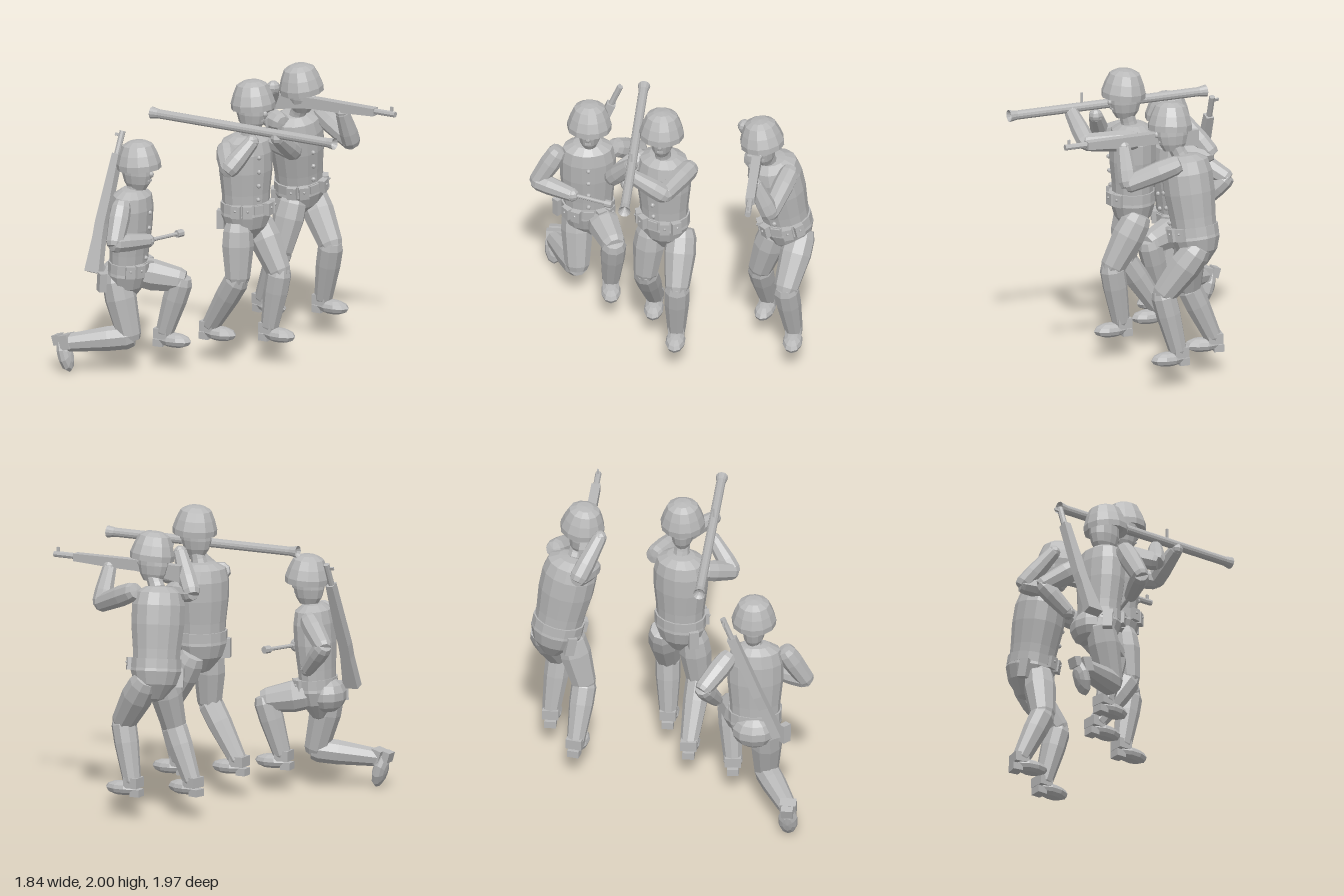
import * as THREE from 'three';

const grey = new THREE.MeshStandardMaterial({ color: 0xb8b8b8 });
grey.name = 'figure grey';

const V = (a) => new THREE.Vector3(...a);
const UP = new THREE.Vector3(0, 1, 0);

// faceted mesh added to a parent
function add(parent, name, geo, pos = [0, 0, 0], scale = [1, 1, 1]) {
  const flat = geo.index ? geo.toNonIndexed() : geo;
  flat.computeVertexNormals();
  const m = new THREE.Mesh(flat, grey);
  m.name = name;
  m.position.set(...pos);
  m.scale.set(...scale);
  parent.add(m);
  return m;
}
const box = (w, h, d) => new THREE.BoxGeometry(w, h, d);
const ball = (r) => new THREE.SphereGeometry(r, 8, 6);
const lathe = (pts, n = 10) => new THREE.LatheGeometry(pts.map(([r, y]) => new THREE.Vector2(r, y)), n);

// group standing at p with its y axis toward q, turned about that axis
function aimed(parent, name, p, q, yaw = 0) {
  const g = new THREE.Group();
  g.name = name;
  g.position.copy(V(p));
  g.quaternion.setFromUnitVectors(UP, V(q).sub(V(p)).normalize());
  g.rotateY(yaw);
  parent.add(g);
  return g;
}

// faceted limb: radii at start, a bulge at a third, and the end
function limb(parent, name, p, q, r0, r1, r2) {
  const L = V(p).distanceTo(V(q));
  const geo = lathe([[0, -r0 * 0.45], [r0 * 0.8, -r0 * 0.35], [r0, r0 * 0.2], [r1, L * 0.35],
    [r2, L - r2 * 0.1], [r2 * 0.8, L + r2 * 0.35], [0, L + r2 * 0.42]], 9);
  add(aimed(parent, name, p, q), name, geo);
}

function arm(parent, side, [shoulder, elbow, hand]) {
  limb(parent, side + 'UpperArm', shoulder, elbow, 0.068, 0.073, 0.062);
  limb(parent, side + 'Forearm', elbow, hand, 0.064, 0.064, 0.049);
  add(parent, side + 'Hand', ball(0.048), hand);
}

function leg(parent, side, [hip, knee, ankle], tilt = 0, yaw = 0) {
  limb(parent, side + 'Thigh', hip, knee, 0.102, 0.11, 0.085);
  limb(parent, side + 'Shin', knee, ankle, 0.087, 0.085, 0.062);
  const foot = new THREE.Group();
  foot.name = side + 'Boot';
  foot.position.set(...ankle);
  foot.rotation.set(0, yaw, tilt);
  add(foot, 'bootToe', new THREE.SphereGeometry(1, 10, 6), [0.075, -0.045, 0], [0.125, 0.05, 0.068]);
  add(foot, 'bootHeel', box(0.07, 0.05, 0.08), [-0.035, -0.07, 0]);
  add(foot, 'bootCuff', box(0.1, 0.07, 0.11), [-0.01, 0, 0]);
  parent.add(foot);
}

// trunk, belt and pouches, built upright and then leaned
function trunk(parent, base, top, yaw, depth, canteen) {
  const L = V(base).distanceTo(V(top));
  const g = aimed(parent, 'trunk', base, top, yaw);
  const d = [depth, 1, 1];
  add(g, 'jacket', lathe([[0, 0], [0.166, 0], [0.172, 0.1], [0.19, L * 0.5], [0.19, L * 0.75],
    [0.168, L * 0.91], [0.1, L * 0.98], [0, L]], 14), [0, 0, 0], d);
  add(g, 'pelvis', lathe([[0, -0.26], [0.06, -0.24], [0.15, -0.14], [0.182, -0.05], [0.172, 0.01], [0, 0.02]], 14), [0, 0, 0], d);
  add(g, 'belt', lathe([[0.165, -0.03], [0.18, -0.03], [0.18, 0.035], [0.165, 0.035]], 14), [0, 0, 0], d);
  add(g, 'buckle', box(0.015, 0.06, 0.07), [0.18 * depth, 0, 0]);
  for (const s of [-1, 1]) {
    for (const a of [0.5, 0.95]) {
      const p = add(g, 'pouch', box(0.05, 0.085, 0.065), [0.19 * depth * Math.cos(a), -0.005, s * 0.175 * Math.sin(a)]);
      p.rotation.y = -s * a;
      add(p, 'pouchStud', ball(0.009), [0.027, 0.01, 0]);
    }
  }
  // canteen at the right rear
  const c = add(g, 'canteen', box(0.05, 0.13, 0.065), [canteen[0], -0.09, canteen[1]]);
  c.rotation.y = 0.75;
  for (let i = 0; i < 4; i++) {
    add(g, 'button', ball(0.016), [[0.174, 0.184, 0.189, 0.189][i] * depth, 0.07 + i * L * 0.195, 0]);
  }
}

// head with helmet; origin at the chin
function head(parent, neck, chin, yaw, lean) {
  limb(parent, 'neck', neck, [chin[0], chin[1] + 0.06, chin[2]], 0.058, 0.054, 0.052);
  const g = new THREE.Group();
  g.name = 'head';
  g.position.set(...chin);
  g.rotation.set(lean, yaw, 0);
  add(g, 'face', lathe([[0, 0], [0.055, 0.005], [0.08, 0.05], [0.094, 0.11], [0.094, 0.18], [0, 0.25]], 12),
    [0, 0, 0], [1.18, 1, 0.86]);
  add(g, 'nose', ball(0.018), [0.112, 0.12, 0], [1, 1.2, 1]);
  add(g, 'mouth', box(0.02, 0.012, 0.04), [0.096, 0.075, 0]);
  const h = add(g, 'helmet', lathe([[0, 0.05], [0.12, 0.02], [0.15, 0], [0.152, 0.04], [0.132, 0.105],
    [0.105, 0.165], [0.06, 0.19], [0, 0.197]], 12), [0.015, 0.148, 0]);
  h.rotation.z = 0.07;
  parent.add(g);
}

// rifle along +x from the butt at the origin
function rifle(parent) {
  const g = new THREE.Group();
  g.name = 'rifle';
  const s = new THREE.Shape([[0, -0.125], [0.24, -0.085], [0.34, -0.075], [0.5, -0.072], [0.82, -0.055],
    [0.82, -0.003], [0.34, 0], [0.24, -0.008], [0, -0.01]].map(([x, y]) => new THREE.Vector2(x, y)));
  add(g, 'rifleStock', new THREE.ExtrudeGeometry(s, { depth: 0.062, bevelEnabled: false }), [0, 0, -0.031]);
  const tube = add(g, 'rifleBarrel', new THREE.CylinderGeometry(0.021, 0.021, 0.5, 8), [0.73, -0.025, 0]);
  tube.rotation.z = -Math.PI / 2;
  add(g, 'frontSight', box(0.02, 0.03, 0.012), [0.95, 0.01, 0]);
  parent.add(g);
  return g;
}

function kneelingSoldier() {
  const g = new THREE.Group();
  g.name = 'kneelingSoldier';
  trunk(g, [-0.49, 0.74, 0.6], [-0.455, 1.29, 0.6], 0.12, 0.72, [-0.1, 0.2]);
  add(g, 'seat', new THREE.SphereGeometry(1, 10, 7), [-0.57, 0.66, 0.6], [0.12, 0.12, 0.15]);
  head(g, [-0.455, 1.25, 0.595], [-0.43, 1.275, 0.585], 0, 0);
  arm(g, 'right', [[-0.42, 1.21, 0.8], [-0.39, 0.98, 0.935], [-0.28, 0.96, 0.69]]);
  arm(g, 'left', [[-0.52, 1.2, 0.42], [-0.71, 1.06, 0.27], [-0.55, 0.88, 0.34]]);
  leg(g, 'right', [[-0.54, 0.66, 0.68], [-0.44, 0.26, 0.67], [-0.81, 0.205, 0.86]], -1.28);
  leg(g, 'left', [[-0.46, 0.67, 0.52], [-0.2, 0.625, 0.4], [-0.31, 0.25, 0.43]], 0, 0.1);
  // stick grenade
  const st = aimed(g, 'stickGrenade', [-0.29, 0.96, 0.72], [-0.18, 0.965, 0.41]);
  add(st, 'grenadeHandle', new THREE.CylinderGeometry(0.013, 0.013, 0.3, 8), [0, 0.15, 0]);
  add(st, 'grenadeHead', new THREE.CylinderGeometry(0.026, 0.026, 0.05, 8), [0, 0.305, 0]);
  // rifle slung across the back
  const r = rifle(g);
  const x = V([-0.69, 1.6, 0.4]).sub(V([-0.73, 0.7, 0.77])).normalize();
  const z = x.clone().cross(V([-1, 0, 0])).normalize();
  r.quaternion.setFromRotationMatrix(new THREE.Matrix4().makeBasis(x, z.clone().cross(x), z));
  r.position.set(-0.73, 0.7, 0.77);
  return g;
}

function launcherSoldier() {
  const g = new THREE.Group();
  g.name = 'launcherSoldier';
  trunk(g, [0.09, 1.11, 0.03], [0.09, 1.62, 0.035], -0.42, 0.85, [-0.08, 0.15]);
  head(g, [0.11, 1.59, 0.035], [0.14, 1.655, 0.04], -0.05, 0);
  arm(g, 'right', [[0.03, 1.53, 0.19], [0.17, 1.45, 0.375], [0.27, 1.63, 0.24]]);
  arm(g, 'left', [[0.16, 1.55, -0.15], [0.45, 1.53, 0], [0.46, 1.68, 0.22]]);
  leg(g, 'right', [[0.08, 0.97, 0.12], [0.1, 0.62, 0.155], [-0.14, 0.25, 0.115]]);
  leg(g, 'left', [[0.11, 0.97, -0.09], [0.29, 0.645, -0.075], [0.22, 0.25, -0.065]]);
  // launcher tube with flared ends
  const l = aimed(g, 'launcher', [-0.54, 1.71, 0.225], [0.92, 1.71, 0.225]);
  add(l, 'launcherTube', lathe([[0, 0.03], [0.025, 0.02], [0.042, 0], [0.032, 0.055], [0.032, 1.405],
    [0.042, 1.46], [0.025, 1.44], [0, 1.4]], 12));
  add(g, 'launcherSight', box(0.014, 0.08, 0.014), [0.38, 1.77, 0.225]);
  return g;
}

function rifleSoldier() {
  const g = new THREE.Group();
  g.name = 'rifleSoldier';
  trunk(g, [0, 1.07, -0.79], [0.03, 1.59, -0.69], -0.35, 0.92, [-0.08, 0.15]);
  head(g, [0.05, 1.56, -0.68], [0.1, 1.605, -0.66], -0.1, 0.12);
  arm(g, 'right', [[0, 1.53, -0.56], [-0.185, 1.55, -0.635], [-0.03, 1.79, -0.505]]);
  arm(g, 'left', [[0.15, 1.56, -0.83], [0.46, 1.43, -0.72], [0.45, 1.66, -0.62]]);
  leg(g, 'right', [[0, 0.96, -0.71], [-0.04, 0.61, -0.61], [-0.2, 0.25, -0.65]], 0, -0.2);
  leg(g, 'left', [[0.03, 0.96, -0.895], [0.24, 0.65, -0.81], [0.15, 0.25, -0.855]]);
  rifle(g).position.set(-0.1, 1.735, -0.61);
  return g;
}

export function createModel() {
  const model = new THREE.Group();
  model.name = 'soldiers';
  model.add(kneelingSoldier(), launcherSoldier(), rifleSoldier());
  return model;
}
